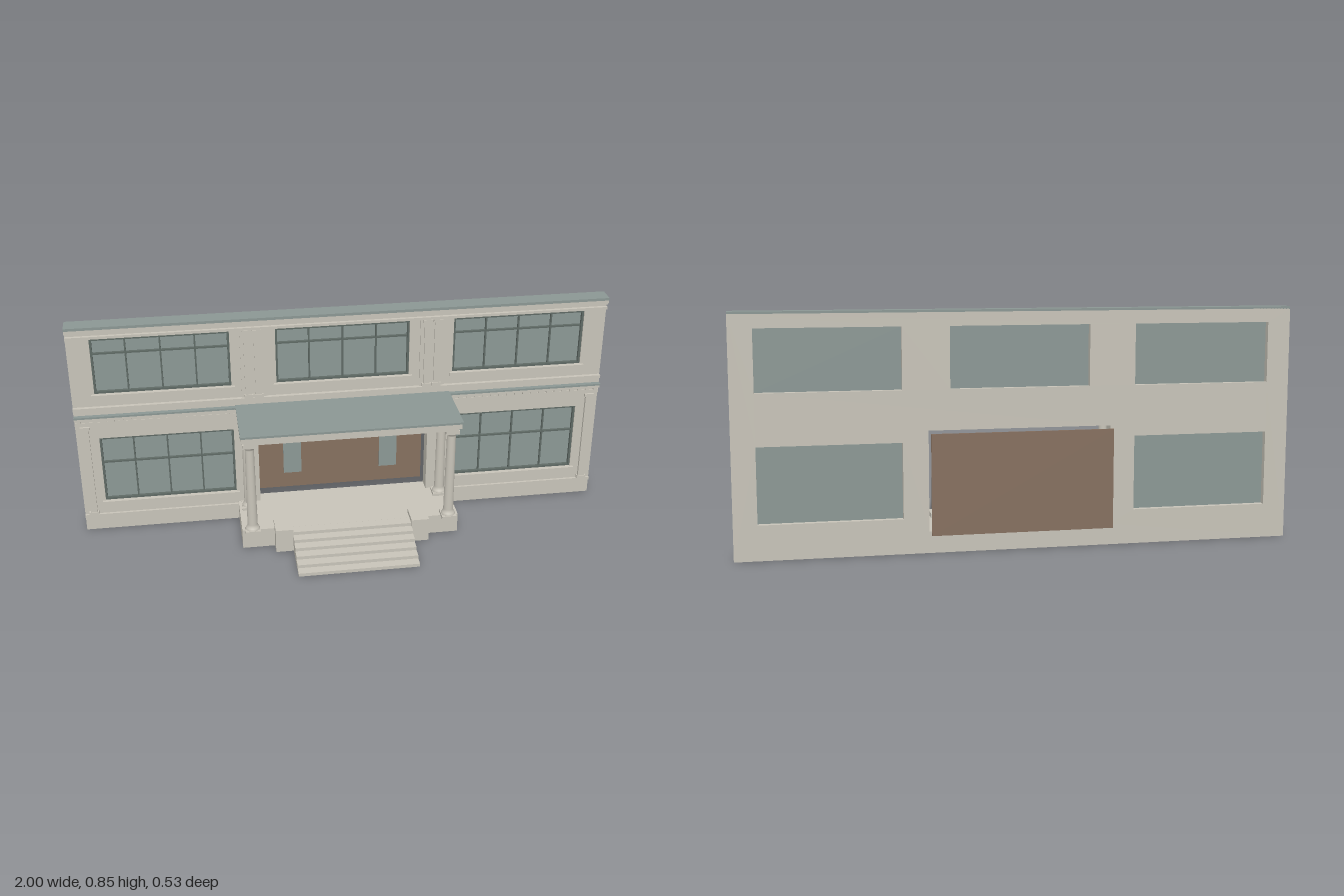
import * as THREE from 'three';

const mat = (name, color) => {
  const m = new THREE.MeshStandardMaterial({ color });
  m.name = name;
  return m;
};

export function createModel() {
  const stone = mat('stone', 0xc8c4b9);
  const slate = mat('slate', 0x8b9794);
  const glass = mat('glass', 0x8c9895);
  const bronze = mat('bronze', 0x5f6a65);
  const wood = mat('wood', 0x86705f);
  const model = new THREE.Group();
  model.name = 'portico facade';

  // Box given by its limits on each axis
  const box = (name, m, x0, x1, y0, y1, z0, z1, parent = model) => {
    const mesh = new THREE.Mesh(new THREE.BoxGeometry(x1 - x0, y1 - y0, z1 - z0), m);
    mesh.position.set((x0 + x1) / 2, (y0 + y1) / 2, (z0 + z1) / 2);
    mesh.name = name;
    parent.add(mesh);
    return mesh;
  };
  const BACK = -0.21, FACE = -0.167;

  // Wall with window and door openings
  const rect = (P, x0, x1, y0, y1) => new P([[x0, y0], [x1, y0], [x1, y1], [x0, y1]]
    .map(([x, y]) => new THREE.Vector2(x, y)));
  const windows = [
    [-0.917, -0.417, 0.125, 0.395, 0.288], [0.417, 0.917, 0.125, 0.395, 0.288],
    [-0.917, -0.417, 0.578, 0.797, 0.736], [-0.25, 0.25, 0.578, 0.797, 0.736],
    [0.417, 0.917, 0.578, 0.797, 0.736],
  ];
  const shape = rect(THREE.Shape, -1, 1, 0, 0.845);
  windows.forEach(([x0, x1, y0, y1]) => shape.holes.push(rect(THREE.Path, x0, x1, y0, y1)));
  shape.holes.push(rect(THREE.Path, -0.327, 0.327, 0.077, 0.435));
  const wall = new THREE.Mesh(
    new THREE.ExtrudeGeometry(shape, { depth: FACE - BACK, bevelEnabled: false }), stone);
  wall.position.z = BACK;
  wall.name = 'wall';
  model.add(wall);

  // Windows: pane, bronze frame, glazing bars and stone sill
  windows.forEach(([x0, x1, y0, y1, yBar]) => {
    const g = new THREE.Group();
    g.name = 'window';
    model.add(g);
    const f = 0.008, z0 = -0.184, z1 = -0.172;
    box('pane', glass, x0, x1, y0, y1, -0.188, z0, g);
    box('frameLeft', bronze, x0, x0 + f, y0, y1, z0, z1, g);
    box('frameRight', bronze, x1 - f, x1, y0, y1, z0, z1, g);
    box('frameBottom', bronze, x0, x1, y0, y0 + f, z0, z1, g);
    box('frameTop', bronze, x0, x1, y1 - f, y1, z0, z1, g);
    for (let i = 1; i < 4; i++) {
      const x = x0 + (x1 - x0) * i / 4;
      box('verticalBar', bronze, x - 0.003, x + 0.003, y0, y1, z0, z1 - 0.003, g);
    }
    box('crossBar', bronze, x0, x1, yBar - 0.003, yBar + 0.003, z0, z1 - 0.002, g);
    box('sill', stone, x0 - 0.012, x1 + 0.012, y0 - 0.014, y0, FACE, -0.155, g);
  });

  // Horizontal mouldings: [name, y0, y1, front z]
  [
    ['baseMoulding', 0.058, 0.07, -0.158],
    ['architrave', 0.45, 0.466, -0.161],
    ['dentilBacking', 0.466, 0.478, -0.163],
    ['middleCornice', 0.478, 0.49, -0.149],
    ['blockingCourse', 0.497, 0.517, -0.161],
    ['stringCourse', 0.517, 0.529, -0.153],
    ['frieze', 0.802, 0.812, -0.155],
    ['upperFillet', 0.822, 0.83, -0.155],
    ['upperCornice', 0.83, 0.843, -0.147],
  ].forEach(([name, y0, y1, z]) => {
    if (name === 'baseMoulding') {
      box(name, stone, -1, -0.41, y0, y1, FACE, z);
      box(name, stone, 0.41, 1, y0, y1, FACE, z);
    } else box(name, stone, -1, 1, y0, y1, FACE, z);
  });
  box('middleFlashing', slate, -1, 1, 0.49, 0.497, FACE, -0.143);
  box('roofCap', slate, -1, 1, 0.843, 0.853, BACK, -0.143);

  // Dentils below the middle cornice
  for (let i = 0; i < 64; i++) {
    const x = -0.985 + i * 1.97 / 63;
    if (Math.abs(x) > 0.41) box('dentil', stone, x - 0.007, x + 0.007, 0.467, 0.478, FACE, -0.154);
  }

  // Pilasters on both storeys
  const pilaster = (x, w, y0, y1) => {
    box('pilaster', stone, x - w / 2, x + w / 2, y0, y1, FACE, -0.156);
    box('pilasterBase', stone, x - w / 2 - 0.005, x + w / 2 + 0.005, y0, y0 + 0.013, FACE, -0.153);
    box('pilasterCap', stone, x - w / 2 - 0.005, x + w / 2 + 0.005, y1 - 0.012, y1, FACE, -0.153);
  };
  for (const s of [-1, 1]) {
    pilaster(s * 0.965, 0.026, 0.07, 0.45);
    box('pilasterBacking', stone, s * 0.335 - 0.045, s * 0.335 + 0.045, 0.529, 0.802, FACE, -0.162);
    pilaster(s * 0.355, 0.024, 0.529, 0.802);
    pilaster(s * 0.317, 0.024, 0.529, 0.802);
    box('doorSurround', stone, s * 0.339 - 0.012, s * 0.339 + 0.012, 0.077, 0.45, FACE, -0.158);
  }

  // Porch floor, steps and cheek blocks
  box('porchFloor', stone, -0.412, 0.412, 0, 0.077, FACE, 0.047);
  [0.264, 0.229, 0.192, 0.156, 0.12, 0.085].forEach((z, i) =>
    box('step', stone, -0.225, 0.225, 0, 0.0128 * (i + 1), 0.047, z));
  for (const s of [-1, 1])
    box('cheekBlock', stone, s * 0.2575 - 0.0335, s * 0.2575 + 0.0335, 0, 0.093, 0.006, 0.093);

  // Columns: turned base, tapering shaft and flared capital
  const profile = [[0.026, 0.086], [0.027, 0.09], [0.024, 0.096], [0.02, 0.102], [0.019, 0.11],
    [0.0165, 0.425], [0.018, 0.43], [0.022, 0.436], [0.025, 0.442]]
    .map(([r, y]) => new THREE.Vector2(r, y));
  const columnGeometry = new THREE.LatheGeometry(profile, 24);
  for (const x of [-0.373, 0.373]) for (const z of [0.05, -0.12]) {
    const g = new THREE.Group();
    g.name = 'column';
    const shaft = new THREE.Mesh(columnGeometry, stone);
    shaft.name = 'shaft';
    g.add(shaft);
    box('plinth', stone, -0.028, 0.028, 0.075, 0.088, -0.028, 0.028, g);
    box('abacus', stone, -0.026, 0.026, 0.44, 0.455, -0.026, 0.026, g);
    g.position.set(x, 0, z);
    model.add(g);
  }

  // Porch roof
  box('porchBeam', stone, -0.394, 0.394, 0.455, 0.469, FACE, 0.077);
  box('porchCornice', stone, -0.403, 0.403, 0.469, 0.492, FACE, 0.089);
  box('porchRoof', slate, -0.407, 0.407, 0.492, 0.5, FACE, 0.097);

  // Entrance panel standing behind the opening, with two narrow lights
  box('entrancePanel', wood, -0.325, 0.325, 0.073, 0.43, -0.264, -0.257);
  for (const s of [-1, 1])
    box('entranceLight', glass, s * 0.19 - 0.035, s * 0.19 + 0.035, 0.138, 0.322, -0.257, -0.253);

  return model;
}
